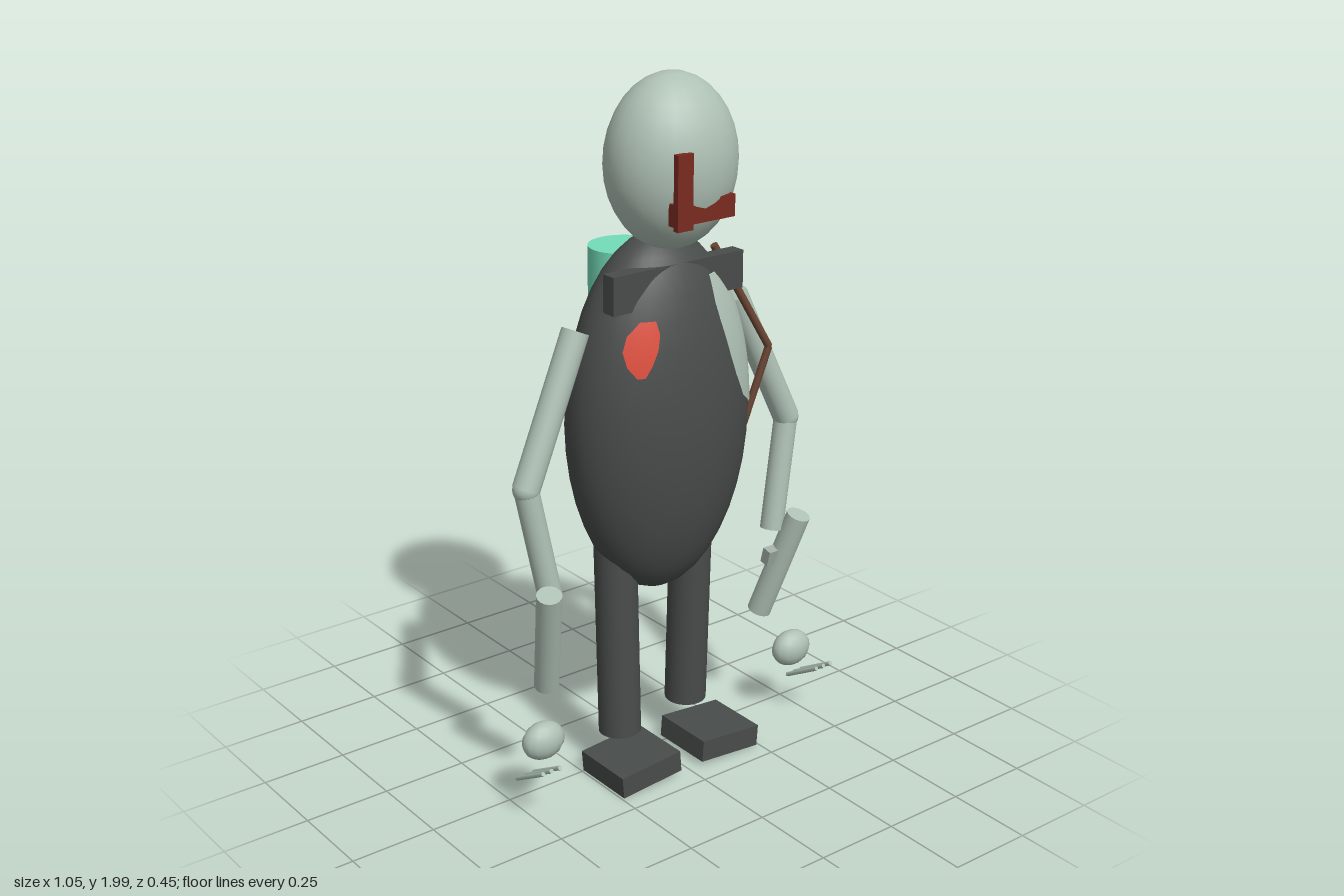
import * as THREE from 'three';

const mat = (name, color, flatShading = false) => {
  const m = new THREE.MeshStandardMaterial({ color, flatShading });
  m.name = name;
  return m;
};

export function createModel() {
  const model = new THREE.Group();
  model.name = 'figure';
  const skin = mat('paleSkin', 0xafc1b5);
  const suit = mat('darkSuit', 0x484c4a);
  const tank = mat('mintGreen', 0x74dcba);
  const red = mat('brightRed', 0xdc4c3a);
  const maroon = mat('darkRed', 0x7a2a20);
  const brown = mat('strapBrown', 0x6a4634);
  const band = mat('bandGrey', 0xa3afa6);
  // faceted look on the large rounded forms
  skin.flatShading = false;

  const add = (name, geo, material, pos = [0, 0, 0]) => {
    const mesh = new THREE.Mesh(geo, material);
    mesh.name = name;
    mesh.position.set(...pos);
    model.add(mesh);
    return mesh;
  };
  const ellipsoid = (name, pos, radii, material, w = 24, h = 16) =>
    add(name, new THREE.SphereGeometry(1, w, h).scale(...radii), material, pos);
  const box = (name, size, pos, material) => add(name, new THREE.BoxGeometry(...size), material, pos);

  // cylinder between two points
  const rod = (name, from, to, r, material, sides = 20) => {
    const a = new THREE.Vector3(...from), b = new THREE.Vector3(...to);
    const dir = b.clone().sub(a);
    const mesh = add(name, new THREE.CylinderGeometry(r, r, dir.length(), sides), material);
    mesh.position.copy(a).add(b).multiplyScalar(0.5);
    mesh.quaternion.setFromUnitVectors(new THREE.Vector3(0, 1, 0), dir.normalize());
    return mesh;
  };

  // head and torso
  ellipsoid('head', [0.016, 1.765, 0.063], [0.189, 0.235, 0.16], skin);
  const tc = [0, 1.06, 0.028], tr = [0.285, 0.518, 0.185];
  ellipsoid('torso', tc, tr, suit, 32, 20);

  // thin patch lying on the torso; rows of [y, start, end] run downwards
  // face 'front' spans x, 'left' and 'right' span z
  const patch = (name, rows, face, lift, material) => {
    const cols = 6, sub = 4, verts = [], index = [];
    const n = (rows.length - 1) * sub;
    for (let i = 0; i <= n; i++) {
      const k = Math.min(Math.floor(i / sub), rows.length - 2), t = i / sub - k;
      const [y, u0, u1] = rows[k].map((v, c) => THREE.MathUtils.lerp(v, rows[k + 1][c], t));
      for (let j = 0; j <= cols; j++) {
        const u = THREE.MathUtils.lerp(u0, u1, j / cols);
        const fy = (y - tc[1]) / (tr[1] * lift);
        const axis = face === 'front' ? 0 : 2;
        const fu = (u - tc[axis]) / (tr[axis] * lift);
        const d = lift * Math.sqrt(Math.max(0, 1 - fy * fy - fu * fu));
        if (face === 'front') verts.push(u, y, tc[2] + tr[2] * d);
        else verts.push((face === 'left' ? 1 : -1) * tr[0] * d, y, u);
      }
    }
    for (let i = 0; i < n; i++) for (let j = 0; j < cols; j++) {
      const a = i * (cols + 1) + j, c = a + cols + 1;
      index.push(a, c, a + 1, a + 1, c, c + 1);
    }
    const geo = new THREE.BufferGeometry();
    geo.setAttribute('position', new THREE.Float32BufferAttribute(verts, 3));
    geo.setIndex(index);
    geo.computeVertexNormals();
    add(name, geo, material);
  };
  patch('chestPanel', [[1.46, 0.09, 0.14], [1.44, 0.09, 0.185], [1.39, 0.09, 0.215], [1.34, 0.1, 0.238],
    [1.235, 0.13, 0.265], [1.18, 0.15, 0.27], [1.11, 0.185, 0.262], [1.07, 0.235, 0.25]], 'front', 1.012, skin);
  patch('chestBadge', [[1.375, -0.15, -0.11], [1.34, -0.185, -0.105], [1.3, -0.2, -0.115],
    [1.26, -0.195, -0.135], [1.23, -0.175, -0.155]], 'front', 1.025, red);
  patch('leftSideMark', [[1.22, -0.02, -0.037], [1.18, 0, -0.03], [1.12, 0.005, -0.015], [1.08, 0.005, 0]], 'left', 1.015, tank);
  patch('rightSideMark', [[1.22, -0.035, -0.02], [1.18, -0.027, -0.005], [1.14, -0.015, -0.005]], 'right', 1.015, tank);

  // face bars
  box('uprightFaceBar', [0.05, 0.2, 0.018], [-0.06, 1.72, 0.212], maroon);
  box('mouthBar', [0.2, 0.06, 0.025], [0.015, 1.66, 0.195], maroon);

  // collar, back tank and shoulder strap
  box('collar', [0.435, 0.105, 0.045], [0, 1.45, 0.1], suit);
  add('backTank', new THREE.CylinderGeometry(0.098, 0.098, 0.56, 32), tank, [0, 1.22, -0.125]);
  const bend = [0.335, 1.2, 0.1];
  rod('upperStrap', [0.17, 1.51, 0.055], bend, 0.011, brown, 8);
  rod('lowerStrap', bend, [0.265, 0.98, 0.08], 0.011, brown, 8);

  // limbs
  for (const [side, s] of [['left', 1], ['right', -1]]) {
    const elbow = [s * 0.452, 0.95, 0.048];
    rod(side + 'UpperArm', [s * 0.27, 1.345, 0.025], elbow, 0.038, skin);
    ellipsoid(side + 'Elbow', elbow, [0.037, 0.037, 0.037], skin, 16, 10);
    rod(side + 'Forearm', elbow, [s * 0.392, 0.62, 0.066], 0.034, skin);
    rod(side + 'LowerArm', [s * 0.44, 0.67, 0.128], [s * 0.385, 0.342, 0.026], 0.035, skin);
    ellipsoid(side + 'Hand', [s * 0.45, 0.225, 0.1], [0.065, 0.055, 0.043], skin, 14, 10);
    for (const x of [0.465, 0.493, 0.52])
      rod(side + 'Finger', [s * x, 0.117, 0.072], [s * x, 0.19, 0.2], 0.0065, skin, 8);

    rod(side + 'Leg', [s * 0.135, 0.72, 0.01], [s * 0.137, 0.12, s > 0 ? -0.014 : 0.03], 0.061, suit, 24);
    const foot = box(side + 'Foot', [0.205, 0.064, 0.195], [s * 0.143, 0.046, 0.093], suit);
    foot.rotation.z = -s * 0.08;
  }

  // wrist band
  const wrist = box('wristBand', [0.1, 0.048, 0.03], [0.405, 0.542, 0.083], band);
  wrist.rotation.x = 0.25;

  return model;
}
